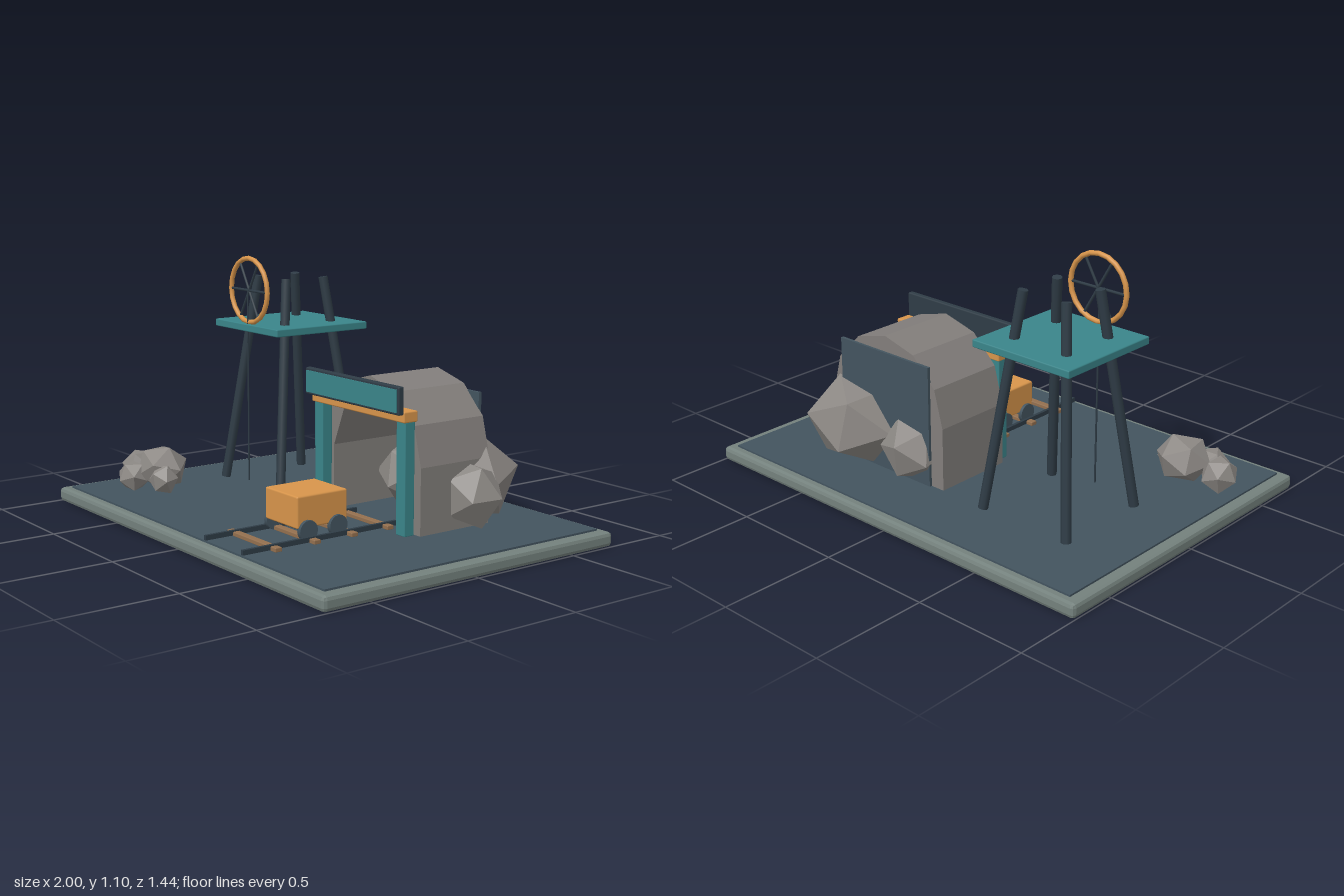
import * as THREE from 'three';
import { RoundedBoxGeometry } from 'three/addons/geometries/RoundedBoxGeometry.js';

const mat = (color, extra = {}) => new THREE.MeshStandardMaterial({ color, ...extra });
const M = {
  rim: mat(0x74817d, { flatShading: true }),
  slate: mat(0x43545f),
  dark: mat(0x2f3c46),
  teal: mat(0x3a858a),
  orange: mat(0xd8954b),
  wood: mat(0x94704f),
  stone: mat(0x827e7b, { flatShading: true }),
  rock: mat(0x8c8884, { flatShading: true }),
};

export function createModel() {
  const model = new THREE.Group();

  const add = (name, geometry, material, x = 0, y = 0, z = 0, parent = model) => {
    const mesh = new THREE.Mesh(geometry, material);
    mesh.name = name;
    mesh.position.set(x, y, z);
    parent.add(mesh);
    return mesh;
  };
  // Box given by its ranges, optionally with small chamfers
  const box = (name, material, [x0, x1], [y0, y1], [z0, z1], bevel = 0, parent = model) => {
    const size = [x1 - x0, y1 - y0, z1 - z0];
    const geometry = bevel ? new RoundedBoxGeometry(...size, 1, bevel) : new THREE.BoxGeometry(...size);
    return add(name, geometry, material, (x0 + x1) / 2, (y0 + y1) / 2, (z0 + z1) / 2, parent);
  };
  // Round bar between two points
  const bar = (name, material, a, b, radius, sides, parent = model) => {
    const p = new THREE.Vector3(...a), q = new THREE.Vector3(...b);
    const d = q.clone().sub(p);
    const mesh = add(name, new THREE.CylinderGeometry(radius, radius, d.length(), sides), material, 0, 0, 0, parent);
    mesh.position.copy(p).add(q).multiplyScalar(0.5);
    mesh.quaternion.setFromUnitVectors(new THREE.Vector3(0, 1, 0), d.normalize());
    return mesh;
  };
  const group = (name) => {
    const g = new THREE.Group();
    g.name = name;
    model.add(g);
    return g;
  };

  // Ground slab
  box('baseRim', M.rim, [-1, 1], [0, 0.062], [-0.72, 0.72], 0.017);
  box('groundPlate', M.slate, [-0.95, 0.95], [0.05, 0.07], [-0.68, 0.68]);

  // Winding tower: platform, four leaning legs, wheel and rope
  const tower = group('windingTower');
  const cx = -0.475, cz = -0.185;
  box('platform', M.teal, [cx - 0.243, cx + 0.243], [0.77, 0.803], [cz - 0.243, cz + 0.243], 0.005, tower);
  for (const sx of [-1, 1]) for (const sz of [-1, 1]) {
    bar('towerLeg', M.dark, [cx + sx * 0.218, 0.075, cz + sz * 0.212],
      [cx + sx * 0.108, 1.0, cz + sz * 0.1], 0.021, 8, tower);
  }
  const wheelZ = 0.037, wheelY = 0.95;
  add('wheelRim', new THREE.TorusGeometry(0.141, 0.011, 8, 20), M.orange, cx, wheelY, wheelZ, tower);
  for (let i = 0; i < 3; i++) {
    const a = i * Math.PI / 3, dx = Math.cos(a) * 0.138, dy = Math.sin(a) * 0.138;
    bar('wheelSpoke', M.dark, [cx - dx, wheelY - dy, wheelZ], [cx + dx, wheelY + dy, wheelZ], 0.006, 6, tower);
  }
  bar('rope', M.dark, [cx, 0.1, 0.045], [cx, wheelY, 0.045], 0.004, 6, tower);

  // Stone tunnel: arch outline with an arched opening
  const mine = group('mineEntrance');
  const mx = 0.298, springY = 0.345, floorY = 0.07;
  const archPoints = (r, steps) => {
    const pts = [new THREE.Vector2(r, floorY)];
    for (let i = 0; i <= steps; i++) {
      const a = Math.PI * i / steps;
      pts.push(new THREE.Vector2(r * Math.cos(a), springY + r * Math.sin(a)));
    }
    pts.push(new THREE.Vector2(-r, floorY));
    return pts;
  };
  const arch = new THREE.Shape([...archPoints(0.325, 6), ...archPoints(0.24, 4).reverse()]);
  add('tunnelArch', new THREE.ExtrudeGeometry(arch, { depth: 0.36, bevelEnabled: false }), M.stone, mx, 0, -0.39, mine);
  box('tunnelBack', M.slate, [0.04, 0.556], [floorY, 0.6], [-0.402, -0.388], 0, mine);

  // Portal frame and blank sign board
  for (const s of [-1, 1]) {
    const x = mx + s * 0.27;
    box('portalPost', M.teal, [x - 0.028, x + 0.028], [floorY, 0.53], [-0.021, 0.028], 0.004, mine);
  }
  box('portalBeam', M.orange, [-0.006, 0.602], [0.528, 0.573], [-0.03, 0.04], 0.006, mine);
  box('signBoard', M.dark, [-0.008, 0.605], [0.562, 0.675], [0.043, 0.07], 0.006, mine);
  box('signPanel', M.teal, [0.003, 0.594], [0.573, 0.664], [0.06, 0.075], 0, mine);

  // Track
  const track = group('track');
  for (const x of [0.17, 0.43]) {
    box('rail', M.dark, [x - 0.007, x + 0.007], [0.072, 0.092], [-0.06, 0.682], 0, track);
  }
  for (const z of [-0.005, 0.175, 0.357, 0.54]) {
    box('sleeper', M.wood, [0.13, 0.47], [0.068, 0.087], [z - 0.016, z + 0.016], 0.004, track);
  }

  // Mine cart
  const cart = group('mineCart');
  box('cartBody', M.orange, [0.19, 0.41], [0.122, 0.253], [0.168, 0.412], 0.008, cart);
  for (const z of [0.22, 0.365]) {
    bar('axle', M.dark, [0.18, 0.113, z], [0.42, 0.113, z], 0.01, 8, cart);
    for (const x of [0.186, 0.414]) {
      bar('cartWheel', M.slate, [x - 0.01, 0.113, z], [x + 0.01, 0.113, z], 0.043, 16, cart);
    }
  }

  // Rocks: [x, y, z, half sizes x y z, turn]
  const rocks = [
    [0.48, 0.245, -0.385, 0.235, 0.2, 0.22, 0.4],
    [0.165, 0.2, -0.36, 0.15, 0.145, 0.145, 1.1],
    [0.635, 0.205, -0.29, 0.14, 0.145, 0.125, 2.0],
    [-0.685, 0.165, 0.37, 0.125, 0.105, 0.115, 0.7],
    [-0.86, 0.14, 0.38, 0.08, 0.08, 0.085, 1.6],
    [-0.755, 0.125, 0.475, 0.082, 0.072, 0.07, 2.4],
    [-0.605, 0.13, 0.41, 0.07, 0.072, 0.065, 0.2],
  ];
  for (const [x, y, z, sx, sy, sz, turn] of rocks) {
    const geometry = new THREE.IcosahedronGeometry(1, 0);
    geometry.rotateX(turn * 0.6).rotateY(turn).rotateZ(turn * 0.35).scale(sx, sy, sz);
    add('rock', geometry, M.rock, x, y, z);
  }

  return model;
}
